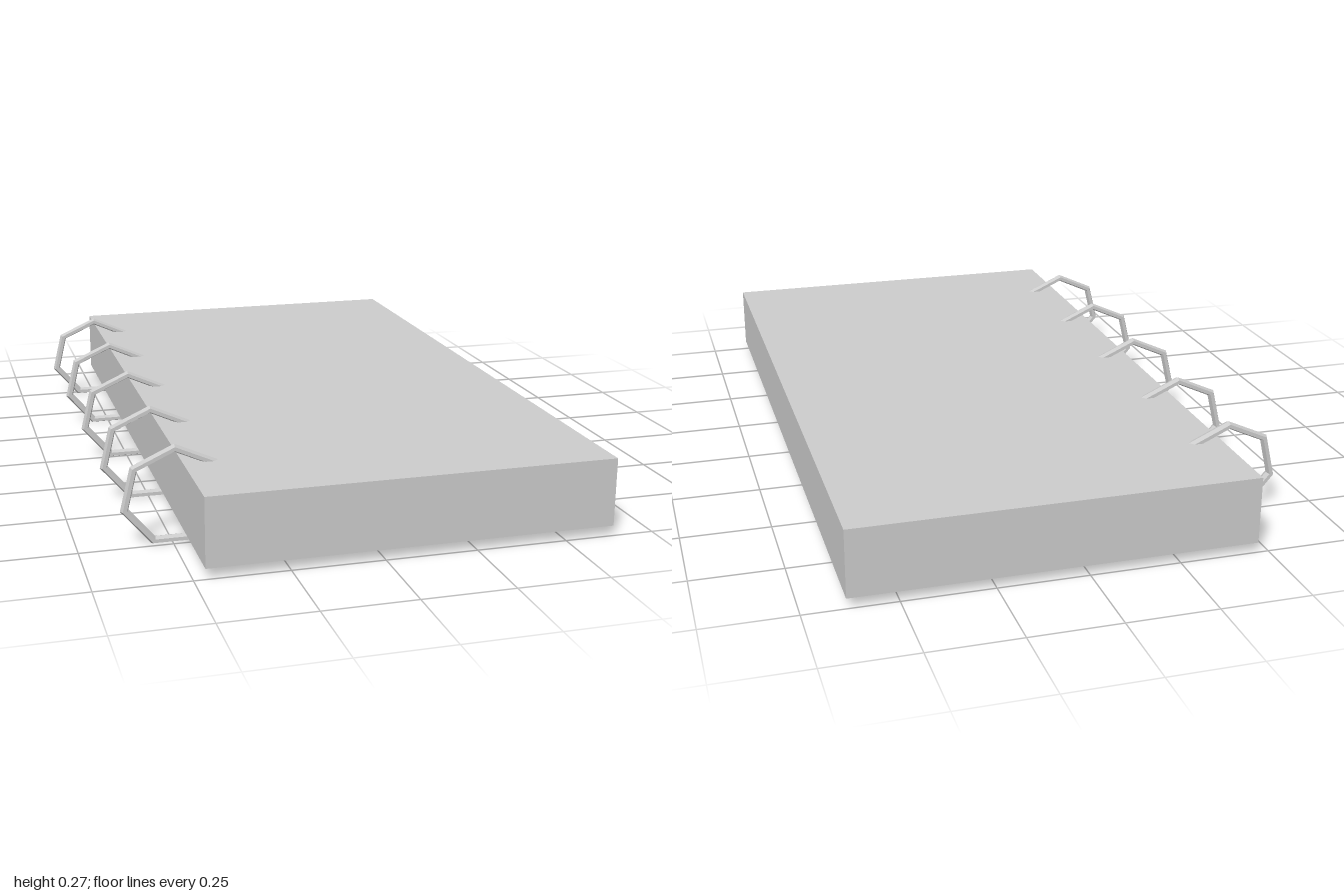
import * as THREE from 'three';

export function createModel() {
  const model = new THREE.Group();
  model.name = 'ringBoundNotebook';
  const material = new THREE.MeshStandardMaterial({ color: 0xcccccc, flatShading: true });

  // Solid block of pages, lying flat
  const pages = new THREE.Mesh(new THREE.BoxGeometry(1.105, 0.188, 2), material);
  pages.name = 'pageBlock';
  pages.position.set(0.083, 0.125, 0);
  model.add(pages);

  // Seven-sided binding rings, one corner pointing up, passing through the spine edge
  const ringGeometry = new THREE.TorusGeometry(0.1325, 0.011, 6, 7);
  ringGeometry.rotateZ(Math.PI / 2);
  ringGeometry.scale(1.045, 0.985, 1.4);
  [-0.736, -0.378, -0.007, 0.375, 0.731].forEach((z, i) => {
    const ring = new THREE.Mesh(ringGeometry, material);
    ring.name = `bindingRing${i + 1}`;
    ring.position.set(-0.49, 0.13, z);
    model.add(ring);
  });

  return model;
}
